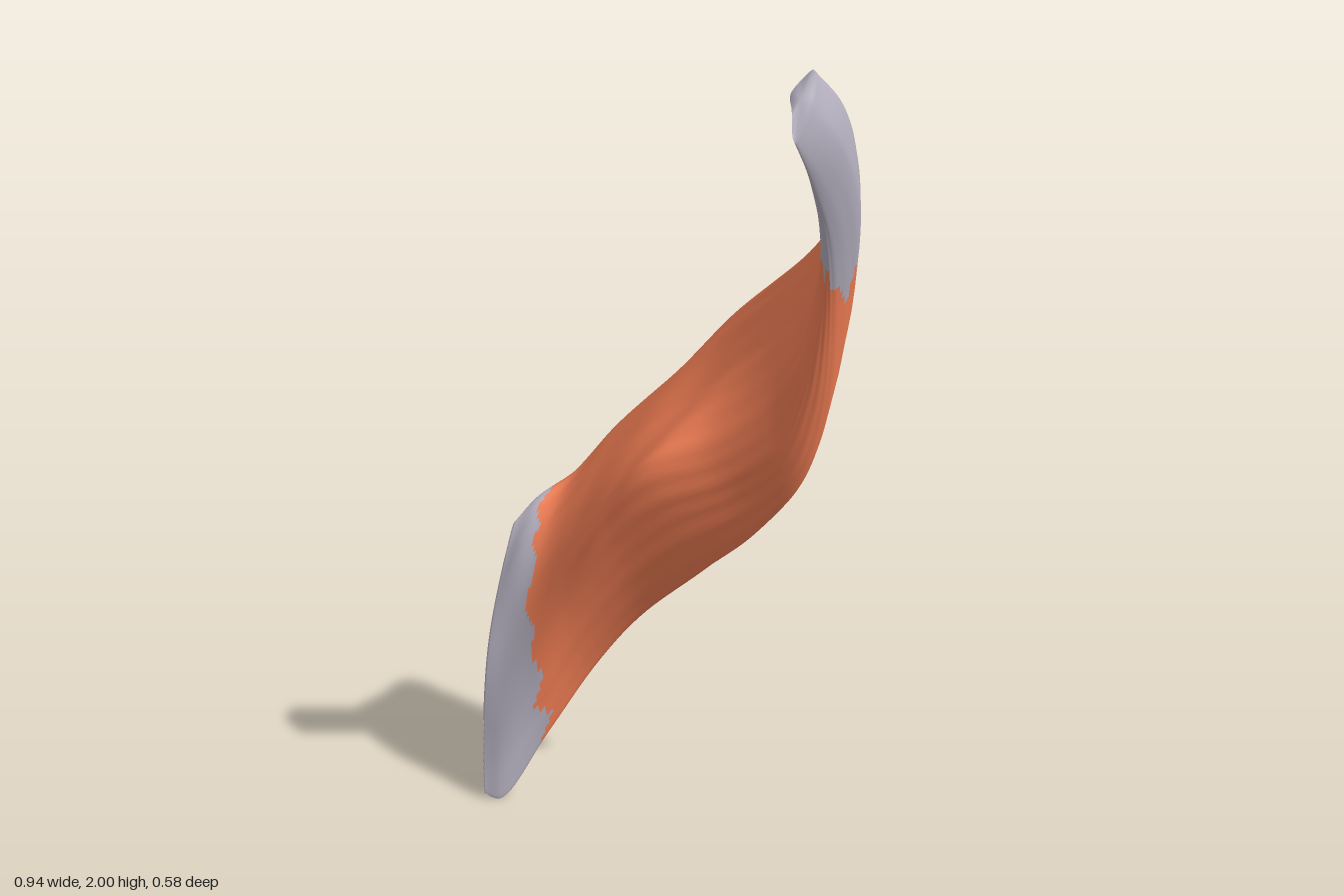
import * as THREE from 'three';

// Six rails run along the muscle from the lower attachment to the upper one.
const rail = (...p) => new THREE.CatmullRomCurve3(p.map(a => new THREE.Vector3(...a)));

const upperEdge = rail([-.464, .745, .105], [-.445, .805, .035], [-.408, .865, -.08], [-.325, 1.0, -.17],
  [-.17, 1.165, -.24], [-.02, 1.325, -.272], [.12, 1.44, -.273], [.24, 1.54, -.266], [.32, 1.625, -.25],
  [.37, 1.69, -.225], [.42, 1.815, -.175], [.43, 1.925, -.115], [.40, 2.0, -.05]);
const frontHollow = rail([-.46, .6, .165], [-.42, .7, .115], [-.372, .76, .05], [-.29, .875, -.01],
  [-.16, 1.01, -.055], [-.03, 1.13, -.13], [.10, 1.26, -.175], [.23, 1.38, -.185], [.31, 1.47, -.18],
  [.365, 1.62, -.175], [.40, 1.77, -.13], [.41, 1.89, -.08], [.385, 1.98, -.03]);
const frontRidge = rail([-.455, .42, .22], [-.41, .46, .185], [-.35, .53, .15], [-.265, .66, .115],
  [-.145, .84, .085], [-.025, .985, .045], [.10, 1.05, -.06], [.22, 1.16, -.12], [.315, 1.3, -.138],
  [.37, 1.54, -.13], [.397, 1.70, -.09], [.40, 1.83, -.04], [.385, 1.95, .01]);
const frontLower = rail([-.44, .2, .26], [-.39, .185, .243], [-.322, .3, .168], [-.253, .47, .095],
  [-.15, .65, .04], [0, .82, -.025], [.13, .91, -.11], [.255, 1.03, -.15], [.335, 1.22, -.148],
  [.395, 1.48, -.112], [.42, 1.65, -.065], [.42, 1.79, -.01], [.41, 1.92, .035]);
const lowerEdge = rail([-.41, .015, .29], [-.375, .0, .26], [-.335, .16, .115], [-.28, .345, -.03],
  [-.177, .5, -.1], [0, .67, -.158], [.14, .80, -.19], [.26, .95, -.215], [.335, 1.14, -.21],
  [.41, 1.45, -.135], [.437, 1.635, -.075], [.437, 1.765, -.008], [.43, 1.86, .05]);
const backSurface = rail([-.472, .43, .175], [-.455, .5, .09], [-.415, .55, .01], [-.335, .71, -.11],
  [-.18, .86, -.195], [0, 1.02, -.25], [.13, 1.13, -.278], [.24, 1.25, -.282], [.345, 1.38, -.268],
  [.422, 1.55, -.208], [.465, 1.72, -.14], [.466, 1.84, -.072], [.43, 1.94, -.005]);

const RAILS = [upperEdge, frontHollow, frontRidge, frontLower, lowerEdge, backSurface];
const ROWS = 108, RING = 72, STATIONS = 12;

export function createModel() {
  const group = new THREE.Group();
  group.name = 'skeletalMuscle';

  // Loft: a closed smooth section through the rails at every row
  const positions = [], centres = [];
  for (let i = 0; i <= ROWS; i++) {
    const t = i / ROWS;
    const pts = RAILS.map(r => r.getPoint(t));
    const centre = pts.reduce((s, p) => s.add(p), new THREE.Vector3()).divideScalar(pts.length);
    centres.push(centre);
    const section = new THREE.CatmullRomCurve3(pts, true);
    const swell = Math.sin(Math.PI * t);
    for (let j = 0; j < RING; j++) {
      const a = j / RING * Math.PI * 2;
      // shallow fibre grooves that drift slowly along the length
      const groove = Math.sin(a * 17 + 3 * Math.sin(t * 7)) + 0.6 * Math.sin(a * 9 - t * 9);
      const p = section.getPoint(j / RING).sub(centre).multiplyScalar(1 + 0.012 * swell * groove).add(centre);
      positions.push(p.x, p.y, p.z);
    }
  }
  const startCentre = positions.length / 3;
  for (const c of [centres[0], centres[ROWS]]) positions.push(c.x, c.y, c.z);

  // Sort faces into belly and tendons along ragged, slanting borders
  const belly = [], lowerTendon = [], upperTendon = [];
  const at = (i, j) => i * RING + j % RING;
  for (let j = 0; j < RING; j++) {
    const a = (j + 0.5) / RING * Math.PI * 2;
    const jag = 0.1 * Math.sin(a * 9) + 0.06 * Math.sin(a * 5 + 1);
    const lowEnd = 1.7 - 0.4 * Math.cos(a) + jag;
    const highStart = 9.03 - 0.38 * Math.cos(a) + jag;
    for (let i = 0; i < ROWS; i++) {
      const s = (i + 0.5) / ROWS * STATIONS;
      const part = s < lowEnd ? lowerTendon : s > highStart ? upperTendon : belly;
      part.push(at(i, j), at(i, j + 1), at(i + 1, j), at(i, j + 1), at(i + 1, j + 1), at(i + 1, j));
    }
    lowerTendon.push(startCentre, at(0, j + 1), at(0, j));
    upperTendon.push(startCentre + 1, at(ROWS, j), at(ROWS, j + 1));
  }

  // Shared positions and normals keep the shading continuous across the borders
  const whole = new THREE.BufferGeometry();
  whole.setAttribute('position', new THREE.Float32BufferAttribute(positions, 3));
  whole.setIndex([...belly, ...lowerTendon, ...upperTendon]);
  whole.computeVertexNormals();

  const muscleMat = new THREE.MeshStandardMaterial({ color: 0xf47f55 });
  const tendonMat = new THREE.MeshStandardMaterial({ color: 0xb3aebd });
  const addPart = (name, index, material) => {
    const g = new THREE.BufferGeometry();
    g.setAttribute('position', whole.attributes.position);
    g.setAttribute('normal', whole.attributes.normal);
    g.setIndex(index);
    const mesh = new THREE.Mesh(g, material);
    mesh.name = name;
    group.add(mesh);
  };
  addPart('muscleBelly', belly, muscleMat);
  addPart('lowerTendon', lowerTendon, tendonMat);
  addPart('upperTendon', upperTendon, tendonMat);
  return group;
}
